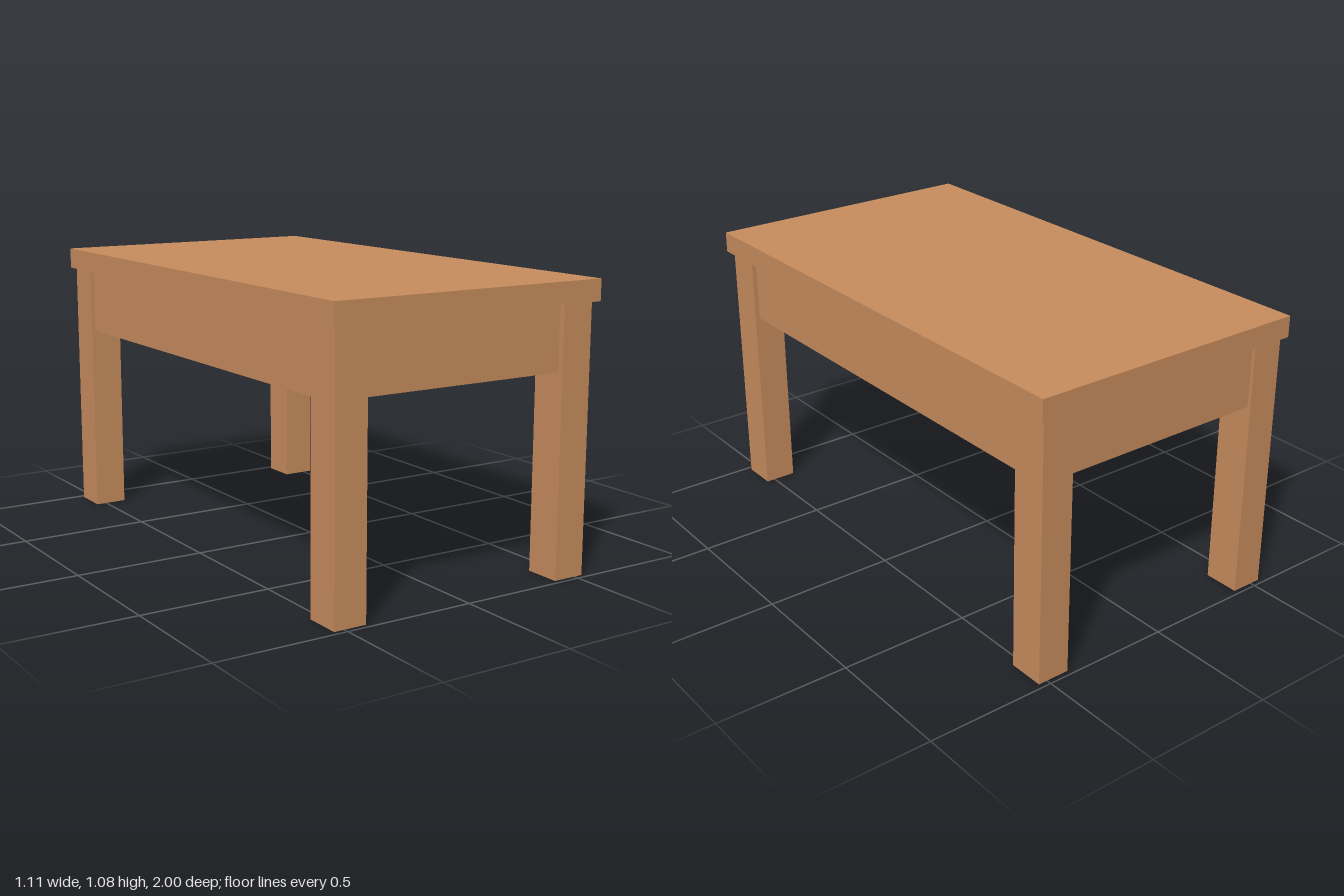
import * as THREE from 'three';

export function createModel() {
  const group = new THREE.Group();
  const wood = new THREE.MeshStandardMaterial({ color: 0xc88d5e });

  // Box given by its minimum and maximum along each axis
  function board(name, [x0, x1], [y0, y1], [z0, z1]) {
    const mesh = new THREE.Mesh(new THREE.BoxGeometry(x1 - x0, y1 - y0, z1 - z0), wood);
    mesh.position.set((x0 + x1) / 2, (y0 + y1) / 2, (z0 + z1) / 2);
    mesh.name = name;
    group.add(mesh);
  }

  board('tableTop', [-0.557, 0.557], [0.998, 1.078], [-1, 1]);

  const leftX = [0.409, 0.535], rightX = [-0.54, -0.414];
  const frontZ = [0.84, 0.98], backZ = [-0.98, -0.84];

  // Four square legs
  for (const [side, x] of [['Left', leftX], ['Right', rightX]]) {
    board('front' + side + 'Leg', x, [0, 0.998], frontZ);
    board('back' + side + 'Leg', x, [0, 0.998], backZ);
  }

  // Short aprons, stopping just shy of the left legs
  board('frontApron', [-0.414, 0.398], [0.757, 0.998], [0.935, 0.97]);
  board('backApron', [-0.414, 0.398], [0.757, 0.998], [-0.967, -0.932]);

  // Long aprons, hung slightly below the top
  board('leftApron', [0.48, 0.516], [0.747, 0.993], [-0.84, 0.84]);
  board('rightApron', [-0.527, -0.491], [0.747, 0.993], [-0.84, 0.84]);

  return group;
}
